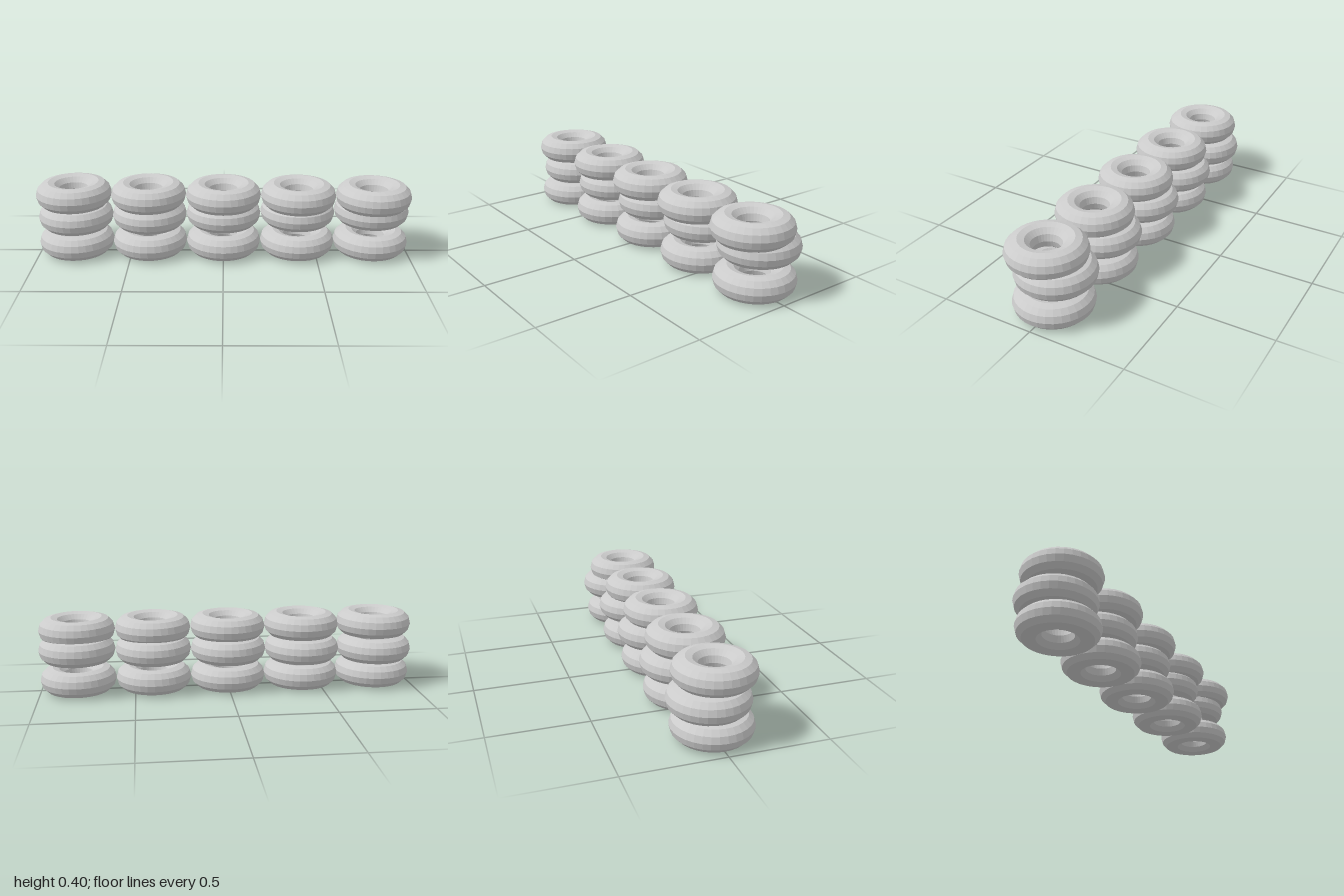
import * as THREE from 'three';

const TUBE = 0.0667;
const RING = 0.2 - TUBE;

export function createModel() {
  const model = new THREE.Group();
  model.name = 'ringStacks';
  const material = new THREE.MeshStandardMaterial({ color: 0xcccccc, flatShading: true });

  // One faceted ring lying flat, shared by every stack
  const ringGeometry = new THREE.TorusGeometry(RING, TUBE, 12, 32).rotateX(-Math.PI / 2);

  function addRing(stack, name, y, z) {
    const ring = new THREE.Mesh(ringGeometry, material);
    ring.name = name;
    ring.position.set(0, y, z);
    stack.add(ring);
  }

  // Five stacks in a row; the upper rings drift gradually from one end to the other
  for (let i = 0; i < 5; i++) {
    const t = i / 4;
    const stack = new THREE.Group();
    stack.name = `stack${i + 1}`;
    stack.position.x = -0.8 + 0.4 * i;
    addRing(stack, 'bottomRing', TUBE + 0.001, -0.003);
    addRing(stack, 'middleRing', THREE.MathUtils.lerp(0.203, 0.235, t), -0.022);
    addRing(stack, 'topRing', THREE.MathUtils.lerp(0.336, 0.331, t), THREE.MathUtils.lerp(0.002, 0.023, t));
    model.add(stack);
  }
  return model;
}
